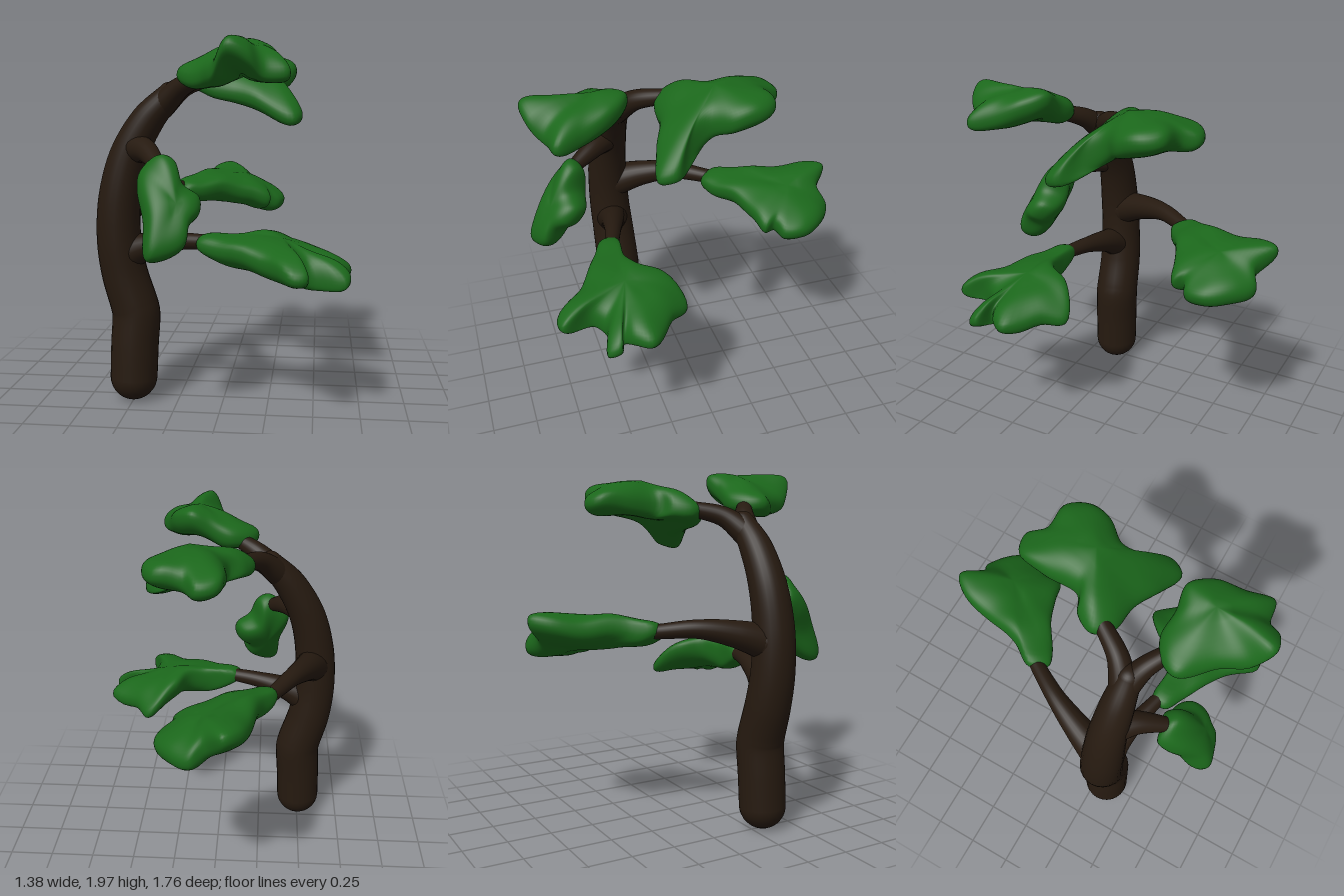
import * as THREE from 'three';
import { mergeVertices } from 'three/addons/utils/BufferGeometryUtils.js';

const bark = new THREE.MeshStandardMaterial({ color: 0x261a10 });
const leaf = new THREE.MeshStandardMaterial({ color: 0x1b671b });

// Tapered limb through points [x, y, z, radius], with rounded ends
function limb(name, pts, segments = 32) {
  const group = new THREE.Group();
  group.name = name;
  const curve = new THREE.CatmullRomCurve3(pts.map(p => new THREE.Vector3(p[0], p[1], p[2])));
  const sides = 24;
  const geo = new THREE.TubeGeometry(curve, segments, 1, sides);
  const pos = geo.attributes.position;
  const v = new THREE.Vector3();
  for (let i = 0; i <= segments; i++) {
    const u = i / segments;
    const center = curve.getPointAt(u);
    const t = curve.getUtoTmapping(u) * (pts.length - 1);
    const k = Math.min(Math.floor(t), pts.length - 2);
    const r = THREE.MathUtils.lerp(pts[k][3], pts[k + 1][3], t - k);
    for (let j = 0; j <= sides; j++) {
      const n = i * (sides + 1) + j;
      v.fromBufferAttribute(pos, n).sub(center).multiplyScalar(r).add(center);
      pos.setXYZ(n, v.x, v.y, v.z);
    }
  }
  group.add(new THREE.Mesh(geo, bark));
  for (const p of [pts[0], pts[pts.length - 1]]) {
    const cap = new THREE.Mesh(new THREE.SphereGeometry(p[3], 24, 16), bark);
    cap.position.set(p[0], p[1], p[2]);
    group.add(cap);
  }
  return group;
}

// Soft leaf pad: a closed 3D outline (clockwise about the normal) swelling to a rounded slab
function pad(name, center, normal, half, outline) {
  const c = new THREE.Vector3(...center);
  const n = new THREE.Vector3(...normal).normalize();
  const curve = new THREE.CatmullRomCurve3(outline.map(p => new THREE.Vector3(...p)), true);
  const around = 96, rings = 24, blur = 7;
  const rim = curve.getPoints(around).slice(0, around);
  // Averaged rim keeps the middle of the pad free of radial creases
  const soft = rim.map((_, i) => {
    const sum = new THREE.Vector3();
    for (let d = -blur; d <= blur; d++) sum.add(rim[(i + d + around) % around]);
    return sum.divideScalar(2 * blur + 1);
  });
  const positions = [], index = [];
  for (let j = 0; j <= rings; j++) {
    const a = -Math.PI / 2 + Math.PI * j / rings;
    const s = j === 0 || j === rings ? 0 : Math.pow(Math.cos(a), 0.65);
    const h = half * Math.sign(Math.sin(a)) * Math.pow(Math.abs(Math.sin(a)), 0.85);
    for (let i = 0; i < around; i++) {
      const edge = soft[i].clone().lerp(rim[i], s * s);
      const p = c.clone().lerp(edge, s);
      const lump = 0.014 * s * Math.sin(p.x * 19 + p.y * 7) * Math.cos(p.z * 17 + p.y * 9);
      p.addScaledVector(n, h + lump);
      positions.push(p.x, p.y, p.z);
      if (j < rings) {
        const q = j * around + i, r = j * around + (i + 1) % around;
        if (j > 0) index.push(q, q + around, r);
        if (j < rings - 1) index.push(r, q + around, r + around);
      }
    }
  }
  let geo = new THREE.BufferGeometry();
  geo.setAttribute('position', new THREE.Float32BufferAttribute(positions, 3));
  geo.setIndex(index);
  geo = mergeVertices(geo, 1e-5);
  geo.computeVertexNormals();
  const mesh = new THREE.Mesh(geo, leaf);
  mesh.name = name;
  return mesh;
}

export function createModel() {
  const tree = new THREE.Group();
  tree.name = 'tree';

  // Leaning trunk
  tree.add(limb('trunk', [
    [-0.5, 0.14, 0.32, 0.131], [-0.493, 0.32, 0.315, 0.132], [-0.484, 0.5, 0.308, 0.133],
    [-0.494, 0.55, 0.308, 0.131], [-0.545, 0.73, 0.312, 0.126], [-0.57, 0.92, 0.322, 0.121],
    [-0.56, 1.15, 0.327, 0.115], [-0.505, 1.38, 0.322, 0.104], [-0.4, 1.57, 0.317, 0.09],
    [-0.28, 1.7, 0.31, 0.068],
  ], 80));

  // Branches
  tree.add(limb('topBackBranch', [
    [-0.33, 1.64, 0.31, 0.075], [-0.23, 1.735, 0.22, 0.056], [-0.13, 1.78, 0.07, 0.042]]));
  tree.add(limb('topFrontBranch', [
    [-0.33, 1.64, 0.31, 0.075], [-0.22, 1.735, 0.36, 0.056], [-0.1, 1.79, 0.44, 0.042]]));
  tree.add(limb('backBranch', [
    [-0.55, 1.08, 0.28, 0.1], [-0.5, 1.125, 0.13, 0.075], [-0.42, 1.155, -0.05, 0.052],
    [-0.3, 1.14, -0.25, 0.04]]));
  tree.add(limb('frontBranch', [
    [-0.48, 1.42, 0.33, 0.088], [-0.39, 1.405, 0.43, 0.062], [-0.31, 1.35, 0.56, 0.04]]));
  tree.add(limb('lowBranch', [
    [-0.55, 0.83, 0.32, 0.11], [-0.41, 0.885, 0.34, 0.072], [-0.24, 0.92, 0.38, 0.048],
    [-0.06, 0.93, 0.43, 0.038]]));

  // Leaf pads
  tree.add(pad('topBackLeaves', [0.14, 1.84, -0.12], [0, 1, 0.15], 0.097, [
    [-0.2, 1.77, 0.06], [-0.15, 1.78, -0.05], [-0.06, 1.79, -0.1], [-0.06, 1.82, -0.3],
    [-0.03, 1.82, -0.45], [0.08, 1.82, -0.48], [0.15, 1.83, -0.4], [0.3, 1.85, -0.38],
    [0.37, 1.83, -0.28], [0.36, 1.8, -0.15], [0.28, 1.75, -0.04], [0.31, 1.68, 0.07],
    [0.42, 1.59, 0.18], [0.38, 1.57, 0.27], [0.22, 1.63, 0.23], [0.05, 1.69, 0.16],
    [-0.13, 1.74, 0.14]]));
  tree.add(pad('topFrontLeaves', [0.13, 1.88, 0.54], [0, 1, 0], 0.092, [
    [-0.21, 1.79, 0.52], [-0.18, 1.8, 0.43], [-0.07, 1.8, 0.36], [0.06, 1.87, 0.37],
    [0.18, 1.93, 0.36], [0.28, 1.9, 0.46], [0.33, 1.83, 0.62], [0.37, 1.81, 0.76],
    [0.25, 1.8, 0.79], [0.18, 1.89, 0.86], [0.08, 1.92, 0.88], [0, 1.81, 0.8],
    [-0.07, 1.78, 0.67]]));
  tree.add(pad('backLeaves', [0.02, 1.115, -0.6], [0.25, 1, 0], 0.093, [
    [-0.28, 1.13, -0.18], [-0.34, 1.15, -0.27], [-0.26, 1.17, -0.4], [-0.21, 1.18, -0.6],
    [-0.17, 1.19, -0.79], [-0.08, 1.22, -0.88], [0.02, 1.14, -0.8], [0.1, 1.05, -0.83],
    [0.2, 1.02, -0.76], [0.29, 1.02, -0.62], [0.27, 1.02, -0.5], [0.2, 1.05, -0.46],
    [0.21, 1.03, -0.4], [0.1, 1.09, -0.36], [-0.05, 1.13, -0.3], [-0.2, 1.13, -0.2]]));
  tree.add(pad('frontLeaves', [-0.23, 1.13, 0.67], [0.5, 0.45, 0.75], 0.1, [
    [-0.38, 1.33, 0.6], [-0.31, 1.39, 0.57], [-0.24, 1.36, 0.54], [-0.2, 1.24, 0.56],
    [-0.1, 1.18, 0.58], [-0.09, 1.1, 0.64], [-0.14, 1.04, 0.7], [-0.15, 0.95, 0.76],
    [-0.22, 0.91, 0.81], [-0.31, 0.91, 0.84], [-0.33, 1.1, 0.77], [-0.38, 1.25, 0.67]]));
  tree.add(pad('lowLeaves', [0.33, 0.87, 0.45], [0, 1, 0], 0.092, [
    [-0.12, 0.91, 0.48], [-0.1, 0.92, 0.39], [0.08, 0.92, 0.39], [0.2, 0.93, 0.35],
    [0.27, 0.93, 0.23], [0.43, 0.8, 0.13], [0.52, 0.8, 0.24], [0.69, 0.79, 0.39],
    [0.64, 0.78, 0.48], [0.58, 0.76, 0.53], [0.68, 0.78, 0.56], [0.66, 0.76, 0.63],
    [0.48, 0.77, 0.6], [0.42, 0.8, 0.67], [0.47, 0.83, 0.82], [0.39, 0.83, 0.84],
    [0.25, 0.87, 0.69], [0, 0.9, 0.55]]));

  return tree;
}
